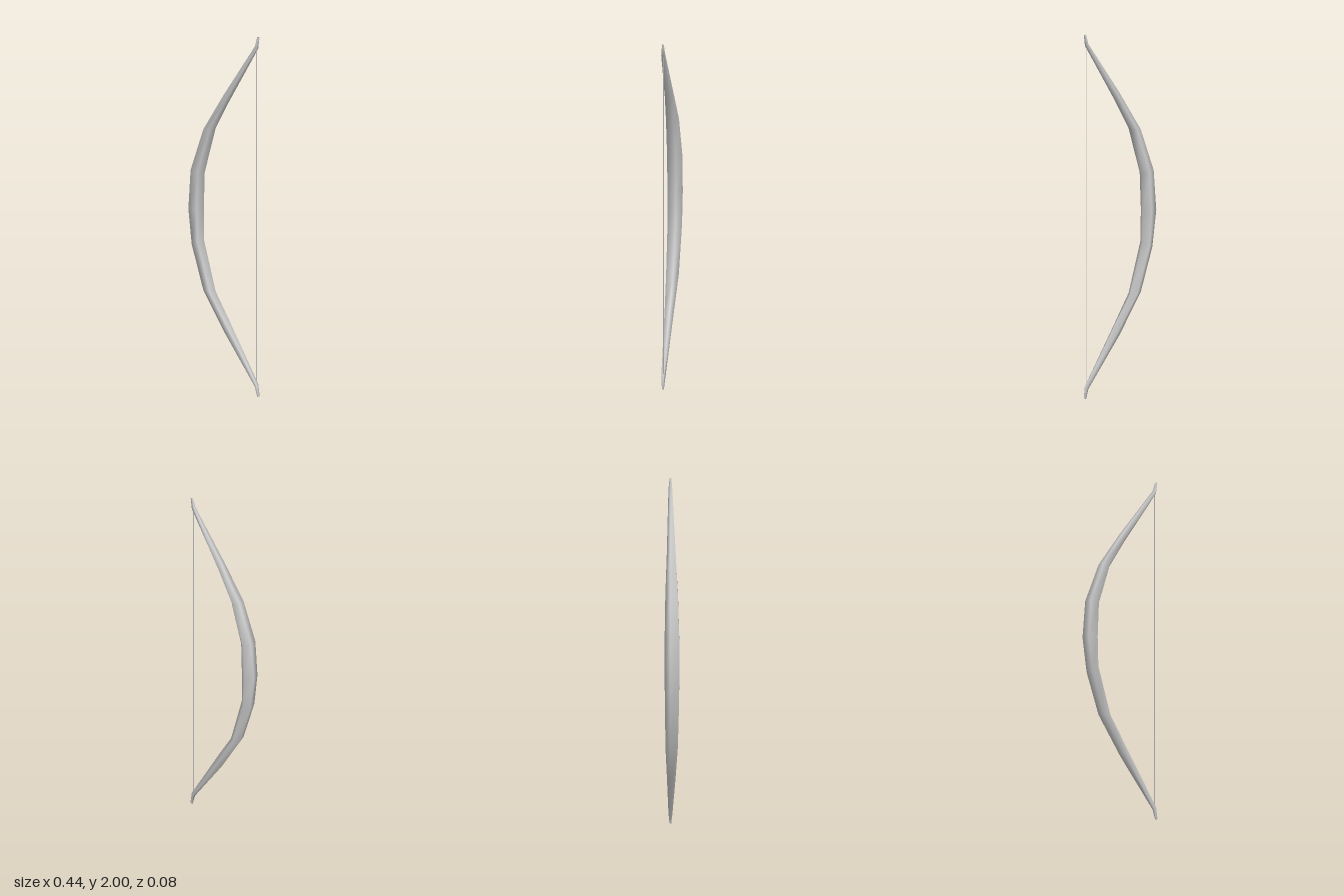
import * as THREE from 'three';

// Limb stations from bottom to top: [outer x, outer y, inner x, inner y, half depth]
const STATIONS = [
  [0.203, 0.0, 0.217, 0.005, 0.005],
  [0.19, 0.055, 0.208, 0.07, 0.011],
  [0.0, 0.335, 0.02, 0.405, 0.025],
  [-0.13, 0.56, -0.065, 0.55, 0.034],
  [-0.2, 0.8, -0.14, 0.83, 0.039],
  [-0.224, 1.0, -0.14, 1.0, 0.041],
  [-0.208, 1.22, -0.135, 1.2, 0.041],
  [-0.13, 1.45, -0.065, 1.455, 0.035],
  [0.0, 1.665, 0.015, 1.605, 0.025],
  [0.19, 1.95, 0.207, 1.935, 0.011],
  [0.203, 2.0, 0.216, 2.0, 0.005],
];
const SIDES = 5;
const TURN = -0.35; // the five-sided section is turned slightly about the limb

// Loft of five-sided sections, each tilted to join its outer and inner point
function bowGeometry() {
  const positions = [];
  const index = [];
  for (const [ox, oy, ix, iy, depth] of STATIONS) {
    for (let j = 0; j < SIDES; j++) {
      const a = TURN + (j / SIDES) * Math.PI * 2;
      const t = 0.5 - (0.5 * Math.cos(a)) / 0.95; // 0 = outer edge, 1 = inner edge
      positions.push(
        THREE.MathUtils.lerp(ox, ix, t),
        THREE.MathUtils.clamp(THREE.MathUtils.lerp(oy, iy, t), 0, 2),
        depth * (Math.sin(a) * 1.07 + 0.08)
      );
    }
  }
  const last = STATIONS.length - 1;
  for (let i = 0; i < last; i++) {
    for (let j = 0; j < SIDES; j++) {
      const k = (j + 1) % SIDES;
      const a = i * SIDES + j, b = i * SIDES + k;
      index.push(a, b, b + SIDES, a, b + SIDES, a + SIDES);
    }
  }
  // Tip caps
  for (let j = 1; j < SIDES - 1; j++) {
    index.push(0, j + 1, j);
    index.push(last * SIDES, last * SIDES + j, last * SIDES + j + 1);
  }
  const geometry = new THREE.BufferGeometry();
  geometry.setAttribute('position', new THREE.Float32BufferAttribute(positions, 3));
  geometry.setIndex(index);
  geometry.computeVertexNormals();
  return geometry;
}

export function createModel() {
  const group = new THREE.Group();
  group.name = 'bow';
  const material = new THREE.MeshStandardMaterial({ color: 0xcccccc });

  // Curved limbs and grip in one piece
  const stave = new THREE.Mesh(bowGeometry(), material);
  stave.name = 'stave';
  group.add(stave);

  // Taut string between the tips
  const low = 0.055, high = 1.945;
  const string = new THREE.Mesh(new THREE.CylinderGeometry(0.0025, 0.0025, high - low, 5), material);
  string.name = 'string';
  string.position.set(0.198, (low + high) / 2, 0);
  group.add(string);

  return group;
}
